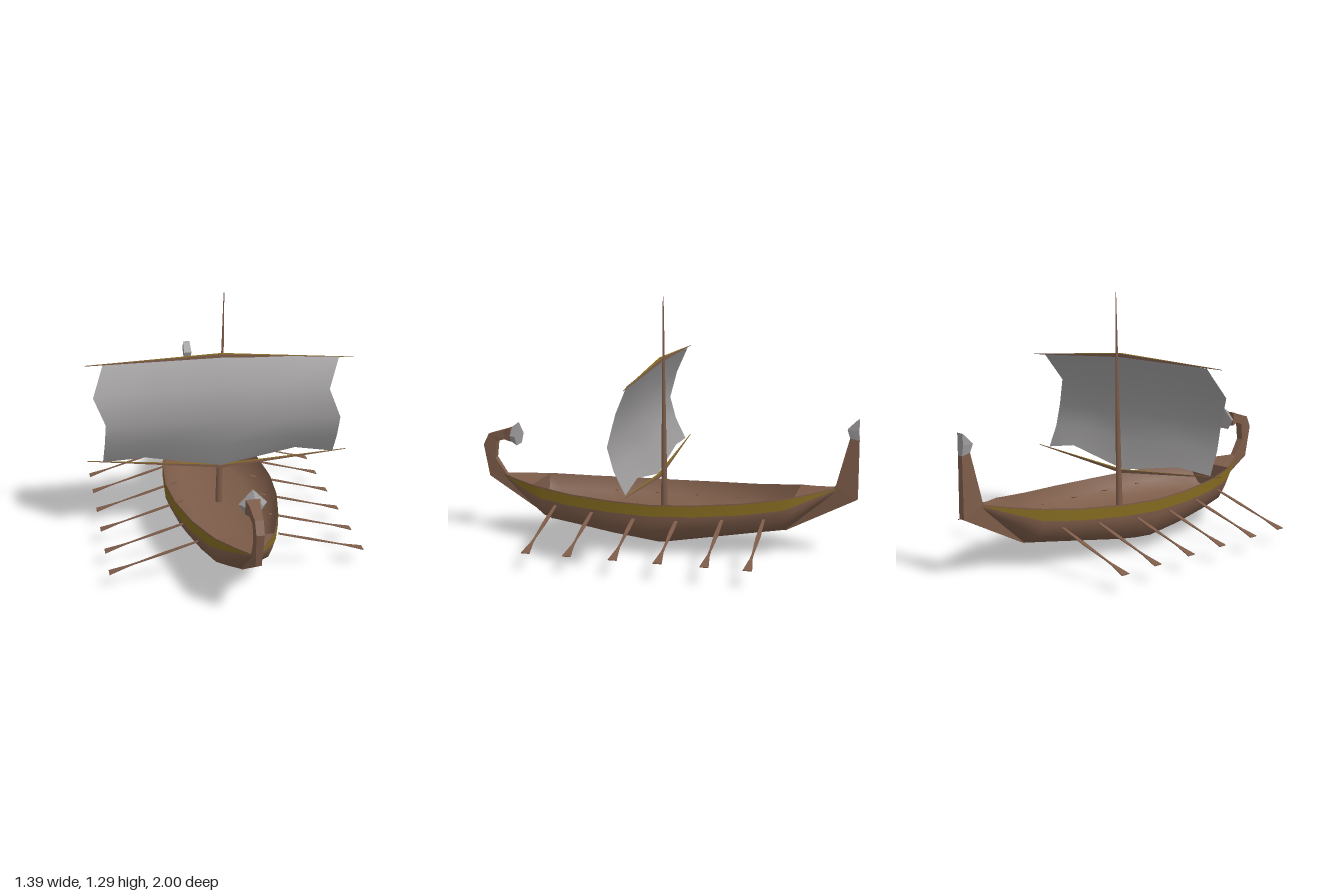
import * as THREE from 'three';

const mat = (name, color) => {
  const m = new THREE.MeshStandardMaterial({ color, side: THREE.DoubleSide });
  m.name = name;
  return m;
};

// Skin a list of equal-length cross-sections ([x, y, z] points).
function loft(sections, { closed = false, caps = false, flat = false } = {}) {
  const n = sections[0].length, index = [];
  const cols = closed ? n : n - 1;
  for (let s = 0; s < sections.length - 1; s++) {
    for (let i = 0; i < cols; i++) {
      const a = s * n + i, b = s * n + (i + 1) % n;
      index.push(a, b, a + n, b, b + n, a + n);
    }
  }
  if (caps) {
    const e = (sections.length - 1) * n;
    for (let i = 1; i < n - 1; i++) index.push(0, i + 1, i, e, e + i, e + i + 1);
  }
  let g = new THREE.BufferGeometry();
  g.setAttribute('position', new THREE.Float32BufferAttribute(sections.flat(2), 3));
  g.setIndex(index);
  if (flat) g = g.toNonIndexed();
  g.computeVertexNormals();
  return g;
}

const CX = -0.017; // centre line of the hull

// Hull stations: z, half width, rail height, keel height
const STATIONS = [
  [0.89, 0.012, 0.325, 0.31], [0.8, 0.07, 0.315, 0.235], [0.68, 0.14, 0.305, 0.14],
  [0.62, 0.162, 0.3, 0.09], [0.45, 0.215, 0.287, 0.067], [0.22, 0.262, 0.279, 0.034],
  [0, 0.28, 0.275, 0.005], [-0.22, 0.262, 0.282, 0.043], [-0.45, 0.215, 0.295, 0.083],
  [-0.64, 0.158, 0.316, 0.115], [-0.7, 0.135, 0.325, 0.165], [-0.8, 0.07, 0.338, 0.25],
  [-0.9, 0.012, 0.355, 0.335],
];

// Mirror a half profile of [x, y] into a full section at z
const mirrored = (half, z) => [
  ...half.map(([x, y]) => [CX + x, y, z]),
  ...half.slice(0, -1).reverse().map(([x, y]) => [CX - x, y, z]),
];

export function createModel() {
  const wood = mat('brown wood', 0x7d5c49);
  const olive = mat('olive trim', 0x82691f);
  const cloth = mat('grey cloth', 0x9c9a9b);
  const model = new THREE.Group();
  model.name = 'oaredSailingShip';
  const add = (name, geometry, material, parent = model) => {
    const m = new THREE.Mesh(geometry, material);
    m.name = name;
    parent.add(m);
    return m;
  };

  // Outer hull skin
  add('hull', loft(STATIONS.map(([z, w, t, k]) => {
    const d = t - k;
    return mirrored([[w, t], [w, t - 0.31 * d], [0.92 * w, t - 0.52 * d],
      [0.79 * w, t - 0.74 * d], [0.4 * w, t - 0.88 * d], [0, k]], z);
  })), wood);

  // Painted band below each rail
  for (const s of [1, -1]) {
    add(s > 0 ? 'leftTrimBand' : 'rightTrimBand', loft(STATIONS.map(([z, w, t, k]) => [
      [CX + s * (w + 0.003), t - 0.006, z],
      [CX + s * (w + 0.003), t - Math.min(0.06, 0.3 * (t - k)), z],
    ])), olive);
  }

  // Hollow inside, closed by a bulkhead at each end
  const inside = STATIONS.slice(2, 11).map(([z, w, t, k]) => {
    const floor = Math.max(0.145, k + 0.03), d = t - floor;
    return mirrored([[w, t], [0.9 * w, t - 0.5 * d], [0.6 * w, t - 0.9 * d], [0, floor]], z);
  });
  add('hullInside', loft(inside), wood);
  for (const [name, ring] of [['bowBulkhead', inside[0]], ['sternBulkhead', inside.at(-1)]]) {
    add(name, loft([ring, ring.map(([x, , z]) => [x, ring[0][1], z])], { flat: true }), wood);
  }

  // Small end decks
  const deck = (list) => loft(list.map(([z, w, t]) => [[CX + w, t, z], [CX - w, t, z]]), { flat: true });
  add('bowDeck', deck(STATIONS.slice(0, 3)), wood);
  add('sternDeck', deck(STATIONS.slice(10)), wood);

  // Posts: each station is outer z, y, inner z, y, half width
  const post = (list) => loft(list.map(([oz, oy, iz, iy, w]) => [
    [CX + w, oy, oz], [CX - w, oy, oz], [CX - w, iy, iz], [CX + w, iy, iz],
  ]), { closed: true, caps: true, flat: true });
  add('stemPost', post([
    [0.62, 0.088, 0.62, 0.1, 0.004], [0.97, 0.31, 0.88, 0.33, 0.014], [1, 0.48, 0.935, 0.41, 0.019],
    [0.97, 0.54, 0.925, 0.5, 0.02], [0.88, 0.567, 0.88, 0.515, 0.025], [0.84, 0.58, 0.835, 0.505, 0.035],
  ]), wood);
  add('sternPost', post([
    [-0.64, 0.113, -0.64, 0.125, 0.004], [-1, 0.3, -0.89, 0.36, 0.018], [-1, 0.6, -0.955, 0.61, 0.016],
  ]), wood);
  add('sternPostTip', post([
    [-1, 0.6, -0.955, 0.61, 0.016], [-0.997, 0.65, -0.942, 0.653, 0.022], [-0.998, 0.705, -0.99, 0.7, 0.02],
  ]), cloth);

  // Flared bud on the stem, facing aft
  const bud = [[-0.067, 0], [0, 0.07], [0.067, 0], [0.038, -0.05], [-0.038, -0.05]];
  const budRing = (s, z) => bud.map(([x, y]) => [CX + 0.008 + x * s, 0.54 + y * s, z]);
  add('stemBud', loft([budRing(0.62, 0.838), budRing(1, 0.8)], { closed: true, caps: true, flat: true }), cloth);

  // Mast, tapering to a point and leaning a little
  const mast = add('mast', new THREE.CylinderGeometry(0.002, 0.019, 1.15, 6), wood);
  mast.position.set(0.001, 0.72, -0.003);
  mast.rotation.z = -0.024;

  // Yards: bent tapering spars with an olive upper face
  const yard = (name, pts, r) => {
    const group = new THREE.Group();
    group.name = name;
    model.add(group);
    const radii = [0.001, r, 0.001];
    add('spar', loft(pts.map(([x, y, z], i) => {
      const q = radii[i];
      return [[x, y + q, z + q], [x, y + q, z - q], [x, y - q, z - q], [x, y - q, z + q]];
    }), { closed: true, caps: true, flat: true }), wood, group);
    add('sparTrim', loft(pts.map(([x, y, z], i) => [
      [x, y + radii[i] + 0.001, z + radii[i]], [x, y + radii[i] + 0.001, z - radii[i]],
    ])), olive, group);
  };
  yard('upperYard', [[-0.69, 0.966, 0.02], [0, 0.973, 0.012], [0.695, 0.915, 0.008]], 0.009);
  yard('lowerYard', [[-0.7, 0.45, 0.02], [0, 0.364, 0.022], [0.67, 0.403, 0.02]], 0.008);

  // Billowing sail: rows from yard to yard, each a row of [x, y]
  const rows = [
    [0.015, [[-0.6, 0.964], [-0.3, 0.968], [0, 0.972], [0.3, 0.95], [0.615, 0.925]]],
    [0.09, [[-0.66, 0.82], [-0.32, 0.822], [0, 0.82], [0.28, 0.8], [0.55, 0.78]]],
    [0.116, [[-0.605, 0.68], [-0.3, 0.67], [0, 0.66], [0.3, 0.645], [0.605, 0.63]]],
    [0.085, [[-0.612, 0.56], [-0.35, 0.555], [0, 0.51], [0.35, 0.535], [0.6, 0.515]]],
    [0.03, [[-0.62, 0.443], [-0.4, 0.45], [-0.01, 0.372], [0.39, 0.44], [0.595, 0.402]]],
  ];
  add('sail', loft(rows.map(([z, pts]) => pts.map(([x, y]) => [x, y, z]))), cloth);

  // Flat oars: distance outward, half width; sloping down to the water
  const profile = [[0.2, 0.007], [0.36, 0.011], [0.5, 0.005], [0.54, 0.007], [0.636, 0.022]];
  for (const s of [1, -1]) {
    for (const z of [-0.56, -0.355, -0.13, 0.09, 0.32, 0.53]) {
      add(s > 0 ? 'leftOar' : 'rightOar', loft(profile.map(([x, w]) => {
        const y = 0.09 + (0.636 - x) * 0.29, px = CX + s * x;
        return [[px, y + 0.002, z + w], [px, y + 0.002, z - w], [px, y - 0.002, z - w], [px, y - 0.002, z + w]];
      }), { closed: true, caps: true, flat: true }), wood);
    }
  }
  return model;
}
